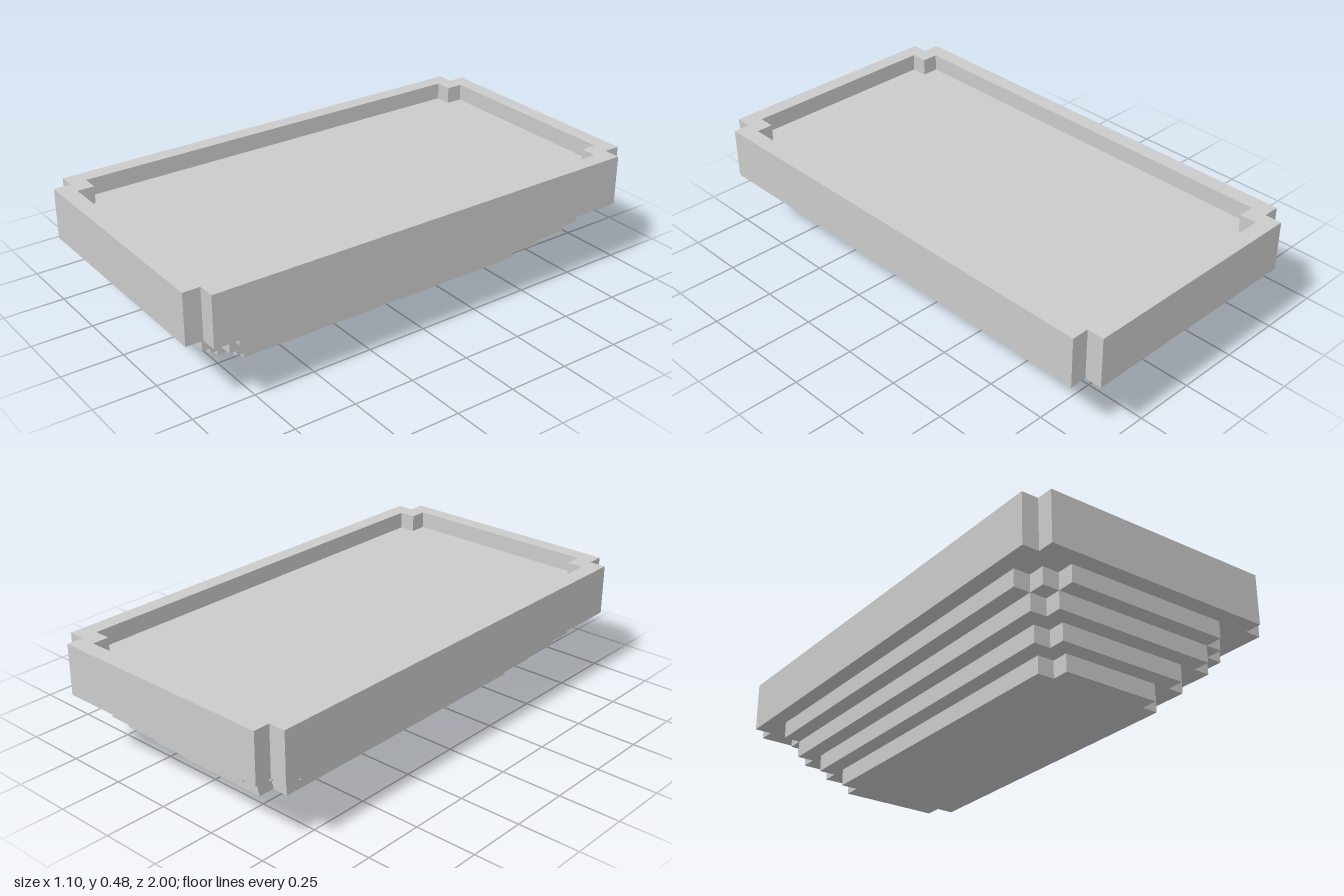
import * as THREE from 'three';

const STEP = 0.069; // size of every inset and corner notch

// Rectangle whose four corners are cut by a staircase of square notches
function notchedOutline(halfX, halfZ, notches) {
  const corner = [];
  for (let i = 0; i <= notches; i++) {
    const x = halfX - i * STEP;
    const z = halfZ - (notches - i) * STEP;
    if (i > 0) corner.push([x, halfZ - (notches - i + 1) * STEP]);
    corner.push([x, z]);
  }
  const back = [...corner].reverse();
  return [
    ...corner,
    ...back.map(([x, z]) => [-x, z]),
    ...corner.map(([x, z]) => [-x, -z]),
    ...back.map(([x, z]) => [x, -z]),
  ].map(([x, z]) => new THREE.Vector2(x, z));
}

// Upright prism of an outline between two heights, with an optional opening
function slab(name, outline, y0, y1, opening) {
  const shape = new THREE.Shape(outline);
  if (opening) shape.holes.push(new THREE.Path(opening));
  const geometry = new THREE.ExtrudeGeometry(shape, { depth: y1 - y0, bevelEnabled: false });
  geometry.rotateX(-Math.PI / 2);
  geometry.translate(0, y0, 0);
  const material = new THREE.MeshStandardMaterial({ color: 0xcccccc, flatShading: true });
  const mesh = new THREE.Mesh(geometry, material);
  mesh.name = name;
  return mesh;
}

export function createModel() {
  const group = new THREE.Group();
  group.name = 'steppedTray';

  // Four base tiers widening upwards; the uppermost has doubly stepped corners
  const tierHeight = 0.0695;
  for (let i = 0; i < 4; i++) {
    const outline = notchedOutline(0.274 + i * STEP, 0.724 + i * STEP, i === 3 ? 2 : 1);
    group.add(slab(`baseTier${i + 1}`, outline, i * tierHeight, (i + 1) * tierHeight));
  }

  // Tray body up to the recessed floor, then the raised rim around it
  const bodyBottom = 4 * tierHeight, floorY = 0.414, rimTop = 0.484;
  const outer = notchedOutline(0.55, 1, 1);
  group.add(slab('trayBody', outer, bodyBottom, floorY));
  group.add(slab('trayRim', outer, floorY, rimTop, notchedOutline(0.484, 0.935, 1)));

  return group;
}
